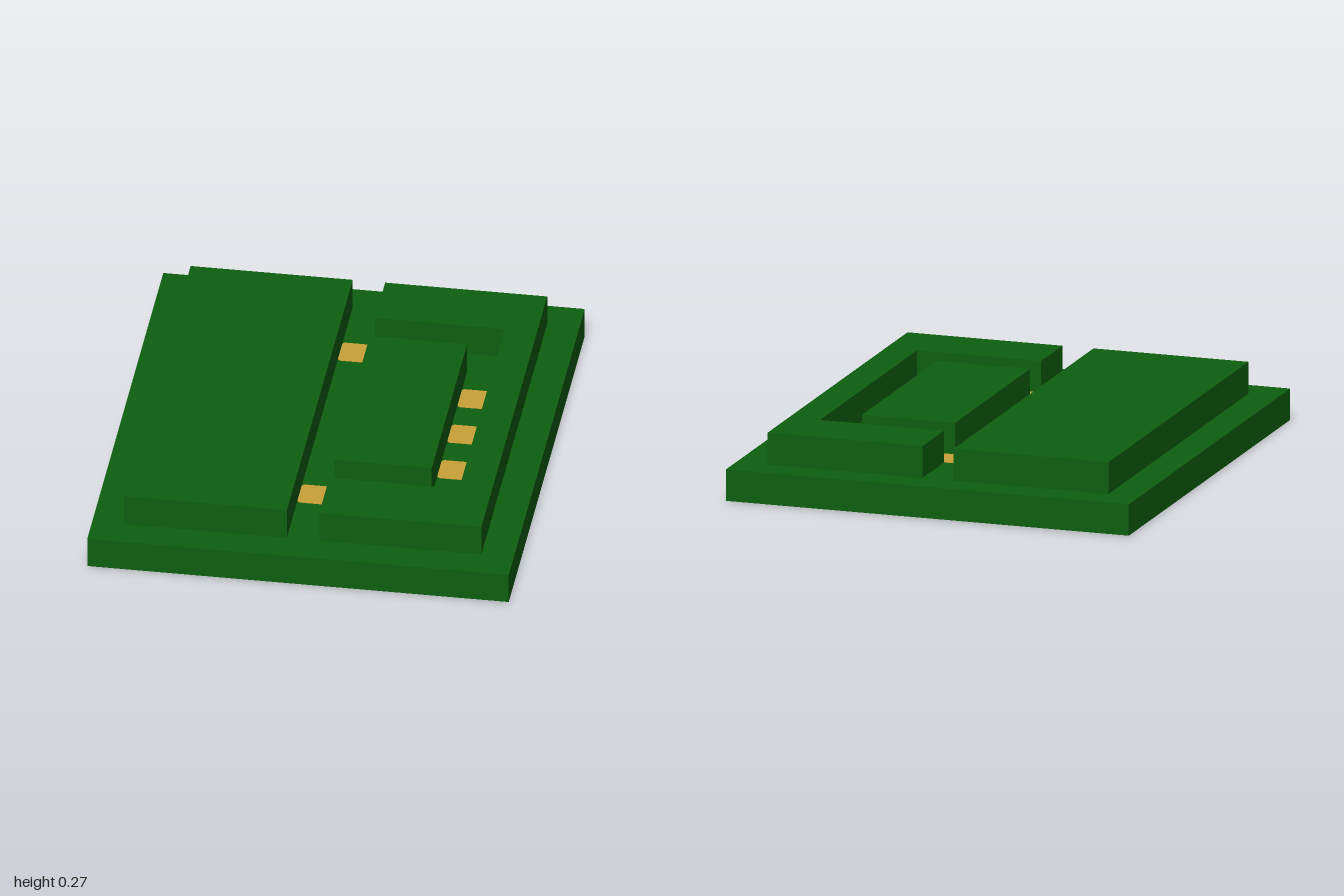
import * as THREE from 'three';

const U = 2 / 15; // layout step: slab thickness, gap and margin

export function createModel() {
  const group = new THREE.Group();
  group.name = 'steppedBoard';
  const green = new THREE.MeshStandardMaterial({ name: 'board green', color: 0x0d5f0f });
  const gold = new THREE.MeshStandardMaterial({ name: 'contact gold', color: 0xc9a237 });

  // Raises a plan outline (x, z) from y0 to y1
  const slab = (name, shape, y0, y1, material) => {
    const geo = new THREE.ExtrudeGeometry(shape, { depth: y1 - y0, bevelEnabled: false, curveSegments: 4 });
    geo.rotateX(-Math.PI / 2).translate(0, y0, 0);
    const mesh = new THREE.Mesh(geo, material);
    mesh.name = name;
    group.add(mesh);
  };
  const outline = (points) => new THREE.Shape(points.map(([x, z]) => new THREE.Vector2(x * U, -z * U)));
  const rect = (x0, x1, z0, z1) => outline([[x0, z1], [x1, z1], [x1, z0], [x0, z0]]);

  // Rectangle with small rounded corners
  const padOutline = (x0, x1, z0, z1) => {
    const r = 0.015, s = new THREE.Shape();
    const corners = [[x1, z0, 0], [x0, z0, 1], [x0, z1, 2], [x1, z1, 3]];
    for (const [x, z, q] of corners) {
      const cx = x * U + (x === x1 ? -r : r);
      const cy = -z * U + (z === z0 ? -r : r);
      s.absarc(cx, cy, r, q * Math.PI / 2, (q + 1) * Math.PI / 2, false);
    }
    return s;
  };

  // Base and raised blocks
  slab('base', rect(-6.5, 6.5, -7.5, 7.5), 0.002, U, green);
  slab('wideBlock', rect(-5.5, -0.5, -6.5, 6.5), U, 2 * U, green);
  slab('innerBlock', rect(0.5, 3.5, -3.5, 3.5), U, 2 * U, green);
  slab('bracketBlock', outline([
    [0.5, 6.5], [5.5, 6.5], [5.5, -6.5], [0.5, -6.5],
    [0.5, -4.5], [4.5, -4.5], [4.5, 4.5], [0.5, 4.5],
  ]), U, 2 * U, green);

  // Contacts pass through the base, showing on its upper and lower faces
  for (const z of [-4, 4]) slab('longContact', padOutline(-0.5, 2.5, z - 0.5, z + 0.5), 0, U + 0.002, gold);
  for (const z of [-2, 0, 2]) slab('squareContact', padOutline(3.5, 4.5, z - 0.5, z + 0.5), 0, U + 0.002, gold);

  return group;
}
